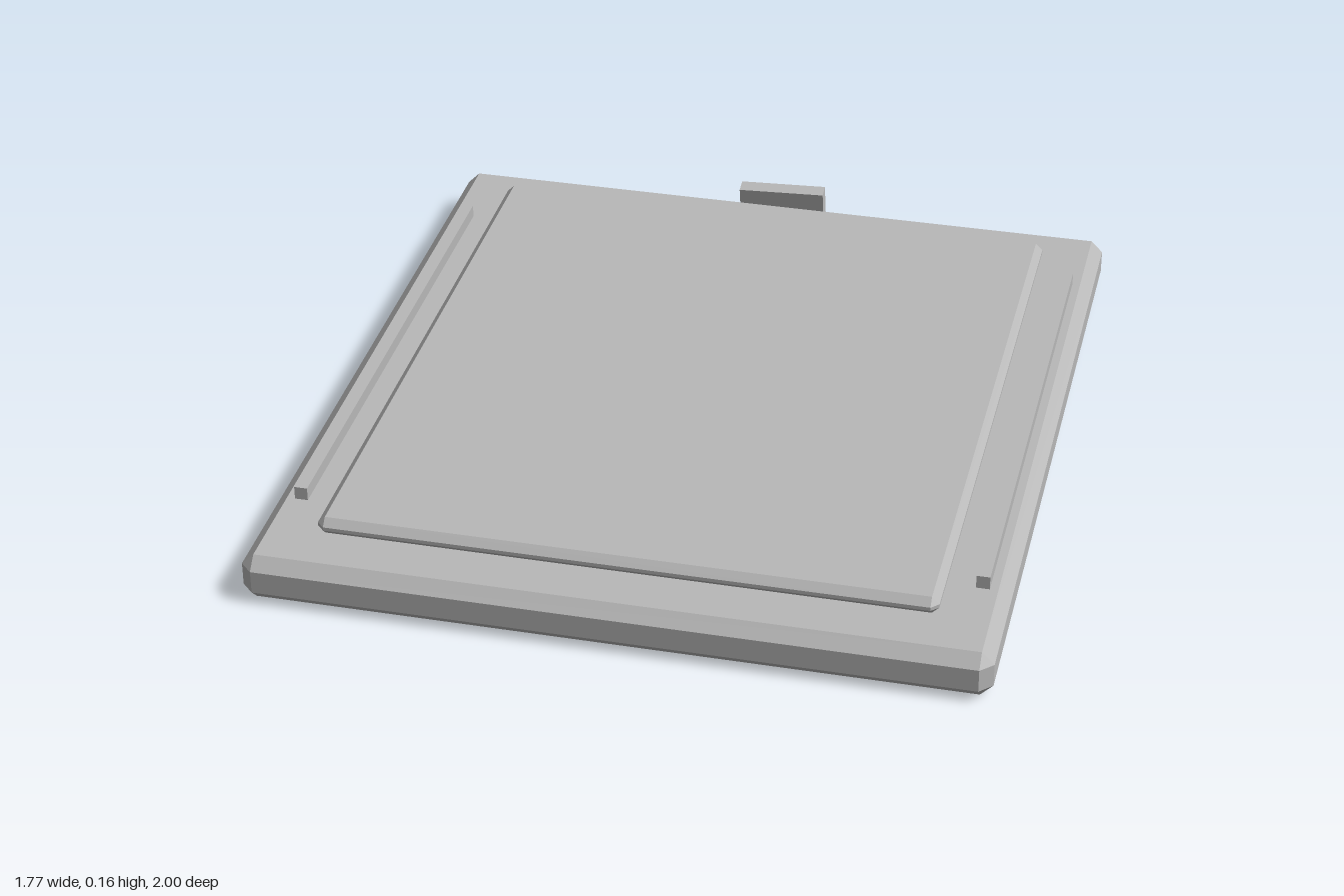
import * as THREE from 'three';
import { ConvexGeometry } from 'three/addons/geometries/ConvexGeometry.js';

// Box with every edge and corner chamfered by b
function chamferedBox(w, h, d, b) {
  const points = [];
  for (const x of [-1, 1]) for (const y of [-1, 1]) for (const z of [-1, 1]) {
    for (let axis = 0; axis < 3; axis++) {
      const inset = [b, b, b];
      inset[axis] = 0;
      points.push(new THREE.Vector3(
        x * (w / 2 - inset[0]), y * (h / 2 - inset[1]), z * (d / 2 - inset[2])));
    }
  }
  return new ConvexGeometry(points);
}

export function createModel() {
  const model = new THREE.Group();
  const grey = new THREE.MeshStandardMaterial({ name: 'plain grey', color: 0xb8b8b8 });

  function add(name, geometry, x, y, z) {
    const mesh = new THREE.Mesh(geometry, grey);
    mesh.name = name;
    mesh.position.set(x, y, z);
    model.add(mesh);
    return mesh;
  }

  // Thick base slab, and the raised panel on top of it
  add('baseSlab', chamferedBox(1.77, 0.118, 1.955, 0.03), 0, 0.059, 0.0205);
  add('raisedPanel', chamferedBox(1.475, 0.045, 1.685, 0.018), 0, 0.138, 0.018);

  // Narrow rails along both sides
  for (const side of [1, -1]) {
    add(side > 0 ? 'leftRail' : 'rightRail',
      new THREE.BoxGeometry(0.032, 0.05, 1.415), side * 0.819, 0.126, 0.018);
  }

  // Small clip tab at the back, leaning slightly forward
  const tab = add('backTab', new THREE.BoxGeometry(0.23, 0.14, 0.04), 0, 0.088, -0.969);
  tab.rotation.set(0.13, 0.04, 0.02);

  return model;
}
